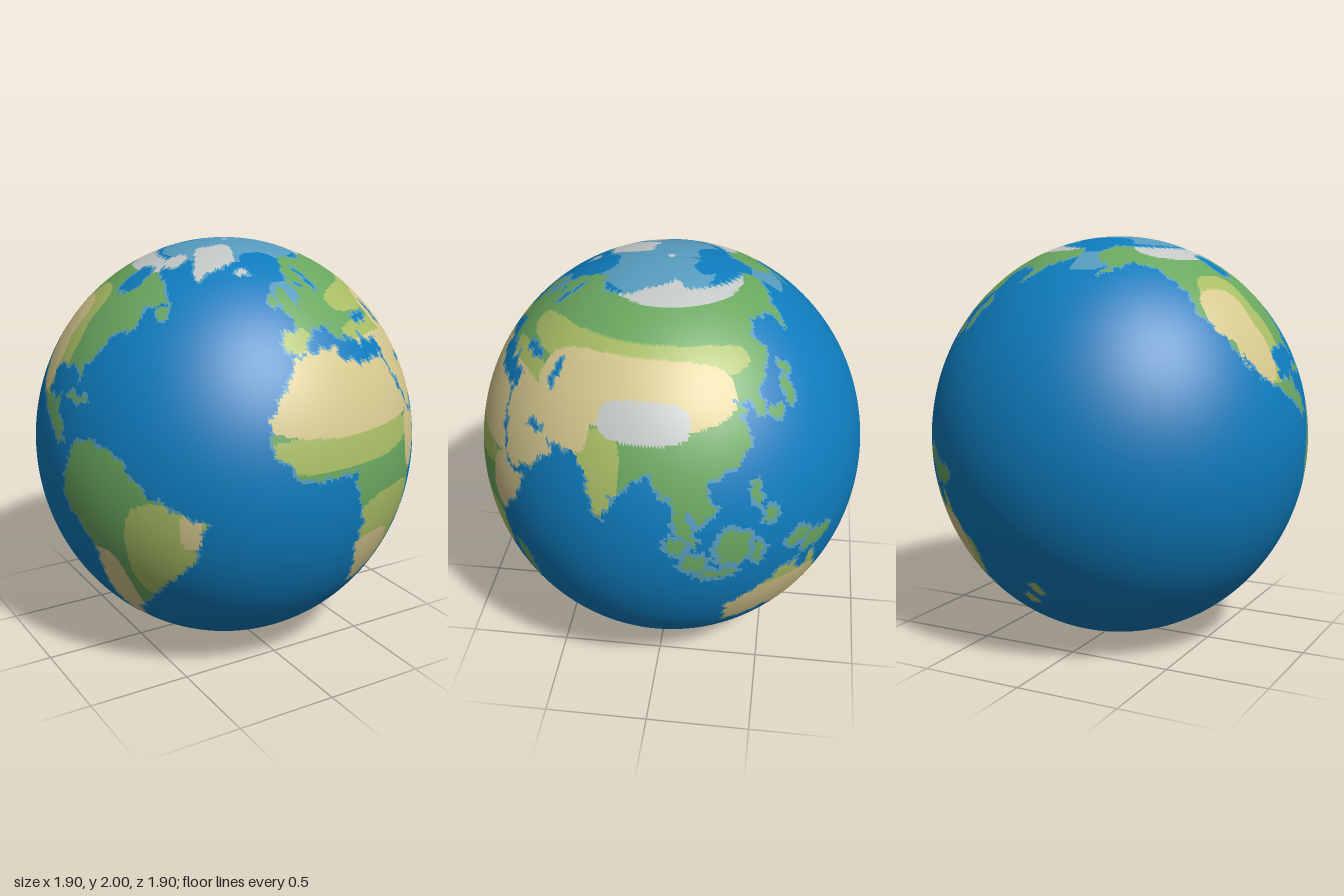
import * as THREE from 'three';

// Continent outlines as longitude, latitude in degrees
const continents = {
  africa: [-6, 35.8, 10, 37.3, 11, 33.5, 20, 31, 32.5, 31.3, 37, 21, 43, 12, 51, 11.9, 47, 4, 39, -5, 40.5, -15, 35, -20,
    35.5, -24, 32, -29, 26, -34, 19, -34.5, 12, -18, 13.5, -11, 9, 0, 9, 4.5, -8, 4.4, -17, 13, -17, 21, -10, 30],
  europe: [60, 25, 57, 25.5, 59.7, 22.5, 52, 15.6, 43.5, 12.8, 39, 21.5, 35, 28.5, 36, 36.5, 27.5, 36.8, 26.5, 40.5, 23, 36.5, 13, 45.3,
    18, 40, 16, 38, 9, 44, 3, 43, -2, 36.8, -9, 37, -9, 43, -1.5, 43.5, -3, 48.5, 8, 54, 5.5, 59.5, 14, 68, 26, 71, 41, 67, 60, 69],
  asia: [60, 69, 72, 73, 104, 77.5, 113, 73.5, 180, 69, 180, 65, 163, 59, 157, 51, 156, 58, 142, 59, 136, 54.5, 140, 50, 128, 40,
    129, 35, 126, 35, 124, 39.5, 118, 39, 122, 37, 119.5, 35, 122, 30, 118, 24.5, 109, 21, 106, 18, 109, 12, 105, 9, 100.5, 13.4,
    103.7, 1.4, 98.3, 8, 97, 16.5, 94.5, 16, 91, 22.5, 87, 21, 80, 15, 77.5, 8, 73, 17, 72, 21, 67, 25, 60, 25],
  northAmerica: [-168, 66, -156, 71.3, -128, 70, -82, 69, -72, 61.5, -65, 59.5, -56, 52.5, -66, 50, -65, 44, -74, 40.5, -76, 35.5,
    -81, 31, -80.2, 25.5, -83, 30, -97, 28.5, -97, 20, -91, 18.6, -88, 21.5, -88, 16, -83.5, 14.5, -83, 10, -77.5, 8.5, -85, 10,
    -95, 16, -105.5, 21, -114, 30, -109.8, 23, -117, 33, -124, 41, -124, 48, -134, 58, -147, 61, -164, 54.6, -158, 59, -165, 62],
  southAmerica: [-77.5, 8.5, -72, 12, -62, 10.6, -50, 0, -35, -6, -39, -18, -48, -26, -58, -36, -65, -42, -69, -51, -66, -55,
    -74, -52, -73.5, -37, -70.3, -18.5, -81, -5, -80, 1],
  australia: [113.7, -23, 115.5, -34.5, 124, -33.5, 131, -31.5, 140, -38, 147, -39, 153.5, -28, 146, -19, 142.5, -10.8,
    140.5, -17.5, 135.5, -15, 136.7, -12.2, 131, -12, 122, -18],
  greenland: [-70, 78, -54, 70, -46, 60.5, -40, 65, -22, 70.5, -20, 80, -35, 83.5],
};

// Rounded patches: centre longitude, latitude, half width, half height
const islands = [
  [46.7, -19, 2.6, 6.8], [-2, 53.5, 3, 4.5], [-8, 53, 2, 2], [-19, 65, 4, 1.3], // Madagascar, north Atlantic
  [133, 34, 3, 1.5], [140, 38, 1.8, 4], [143, 43.5, 2, 1.5], [121, 16, 1.2, 3], [125, 8, 1.6, 2], // western Pacific
  [98, 3, 2.5, 2], [103, -3, 3, 2.5], [110, -7.3, 5, 1], [114, 1, 4.5, 5], [121, -2, 1.3, 3.5], // Indonesia
  [135, -2.5, 4, 2], [143, -6.5, 6, 2.5], [176, -39, 2, 2.5], [170, -44, 2.5, 2], // New Guinea, New Zealand
  [-79, 21.7, 5, 0.8], [-56, 49, 2.5, 2], [-72, 69, 8, 3.5],
];
const inlandSeas = [
  [34, 43.3, 6.5, 1.8], [51, 42, 2, 4.5], [20, 60, 2.5, 5.5], [11, 58, 2, 1.2], [51.5, 27, 3.5, 1.3], [-86, 59, 8, 6],
];
const shelves = [[0, 56, 7, 4], [-172, 62, 12, 5], [0, 90, 180, 20], [146.5, -42, 2, 1.5]];
const basins = [[-165, 77.5, 30, 4.5], [0, 70, 17, 5], [160, 79, 20, 3]];
const archipelago = [118, 0, 25, 14];

// Ground cover in order of priority; all other land is forest
const cover = {
  ice: [[-40, 72, 32, 11], [88, 35, 15, 5.5], [110, 77, 78, 10], [-100, 74, 42, 12]],
  desert: [
    [20, 26, 42, 12], [82, 42, 38, 9.5], [63, 30, 8, 6], [45, 6, 10, 9], [20, -27, 11, 11], [131, -26, 17.5, 9],
    [-110, 40, 11, 8.5], [-105, 28, 8, 9], [-69, -40, 8, 22], [-39, -8, 3, 5],
  ],
  grassland: [
    [75, 50, 55, 5.5], [32, 39, 15, 4], [-4, 40, 6, 4], [8, 11, 28, 5], [26, -18, 18, 14], [75, 21, 7, 11],
    [131, -26, 21, 15], [173, -41, 7, 7], [-105, 45, 13, 9], [-97, 31, 7, 12], [-46, -17, 13, 16],
  ],
};

const inPatch = (x, y) => ([cx, cy, rx, ry]) => Math.abs((x - cx) / rx) ** 3 + Math.abs((y - cy) / ry) ** 3 < 1;

// Ray-crossing test against a closed outline
function inOutline(p, x, y) {
  let inside = false;
  for (let i = 0, j = p.length - 2; i < p.length; j = i, i += 2) {
    const crosses = (p[i + 1] > y) !== (p[j + 1] > y);
    if (crosses && x < p[i] + (p[j] - p[i]) * (y - p[i + 1]) / (p[j + 1] - p[i + 1])) inside = !inside;
  }
  return inside;
}

function isLand(lon, lat) {
  // Antarctica reaches further north in its eastern half
  if (lat < -70 + 3.5 * Math.sin(THREE.MathUtils.degToRad(lon))) return true;
  // Small ripples make the coasts irregular
  const x = lon + 0.5 * Math.sin(lat * 1.3) + 0.3 * Math.sin(lat * 3.1 + lon);
  const y = lat + 0.5 * Math.sin(lon * 1.1) + 0.3 * Math.sin(lon * 2.7 - lat);
  if (inlandSeas.some(inPatch(x, y))) return false;
  return Object.values(continents).some((p) => inOutline(p, x, y)) || islands.some(inPatch(x, y));
}

function surfaceAt(lon, lat) {
  const here = inPatch(lon, lat);
  if (isLand(lon, lat)) {
    if (lat < -60) return 'ice';
    const kind = Object.keys(cover).find((name) => cover[name].some(here));
    return kind ?? 'forest';
  }
  if (lat > 89) return 'ice';
  if (basins.some(here)) return 'ocean';
  if (shelves.some(here)) return 'shallows';
  // Pale fringe of uneven width along the coasts, wider among the islands
  const reach = (here(archipelago) ? 1.7 : 0.7) + 0.5 * Math.sin(lon * 0.9) * Math.sin(lat * 1.1 + 1);
  const wide = reach / Math.max(0.15, Math.cos(THREE.MathUtils.degToRad(lat)));
  const coastal = isLand(lon + wide, lat) || isLand(lon - wide, lat) || isLand(lon, lat + reach) || isLand(lon, lat - reach);
  return coastal ? 'shallows' : 'ocean';
}

export function createModel() {
  const colours = { ocean: 0x0e7cbd, shallows: 0x579cbf, forest: 0x6aa75f, grassland: 0xa8bd65, desert: 0xd6c88f, ice: 0xc3c8c7 };

  // One-degree globe, longitude 0 facing +z, slightly taller than wide
  const globe = new THREE.SphereGeometry(1, 360, 180, -Math.PI / 2);
  globe.scale(0.95, 1, 0.95).translate(0, 1, 0);
  const { index } = globe, { position, normal, uv } = globe.attributes;
  const faces = Object.fromEntries(Object.keys(colours).map((name) => [name, []]));
  for (let i = 0; i < index.count; i += 3) {
    const corners = [0, 1, 2].map((k) => index.getX(i + k));
    const mean = (get) => corners.reduce((sum, c) => sum + get(c), 0) / 3;
    const lon = mean((c) => uv.getX(c)) * 360 - 180, lat = mean((c) => uv.getY(c)) * 180 - 90;
    faces[surfaceAt(lon, lat)].push(...corners);
  }

  // One mesh per kind of surface, sharing the globe's vertices
  const model = new THREE.Group();
  model.name = 'globe';
  for (const [name, color] of Object.entries(colours)) {
    const geometry = new THREE.BufferGeometry();
    geometry.setAttribute('position', position);
    geometry.setAttribute('normal', normal);
    geometry.setIndex(faces[name]);
    const material = new THREE.MeshStandardMaterial({ color });
    material.name = name;
    const mesh = new THREE.Mesh(geometry, material);
    mesh.name = name;
    model.add(mesh);
  }
  return model;
}
